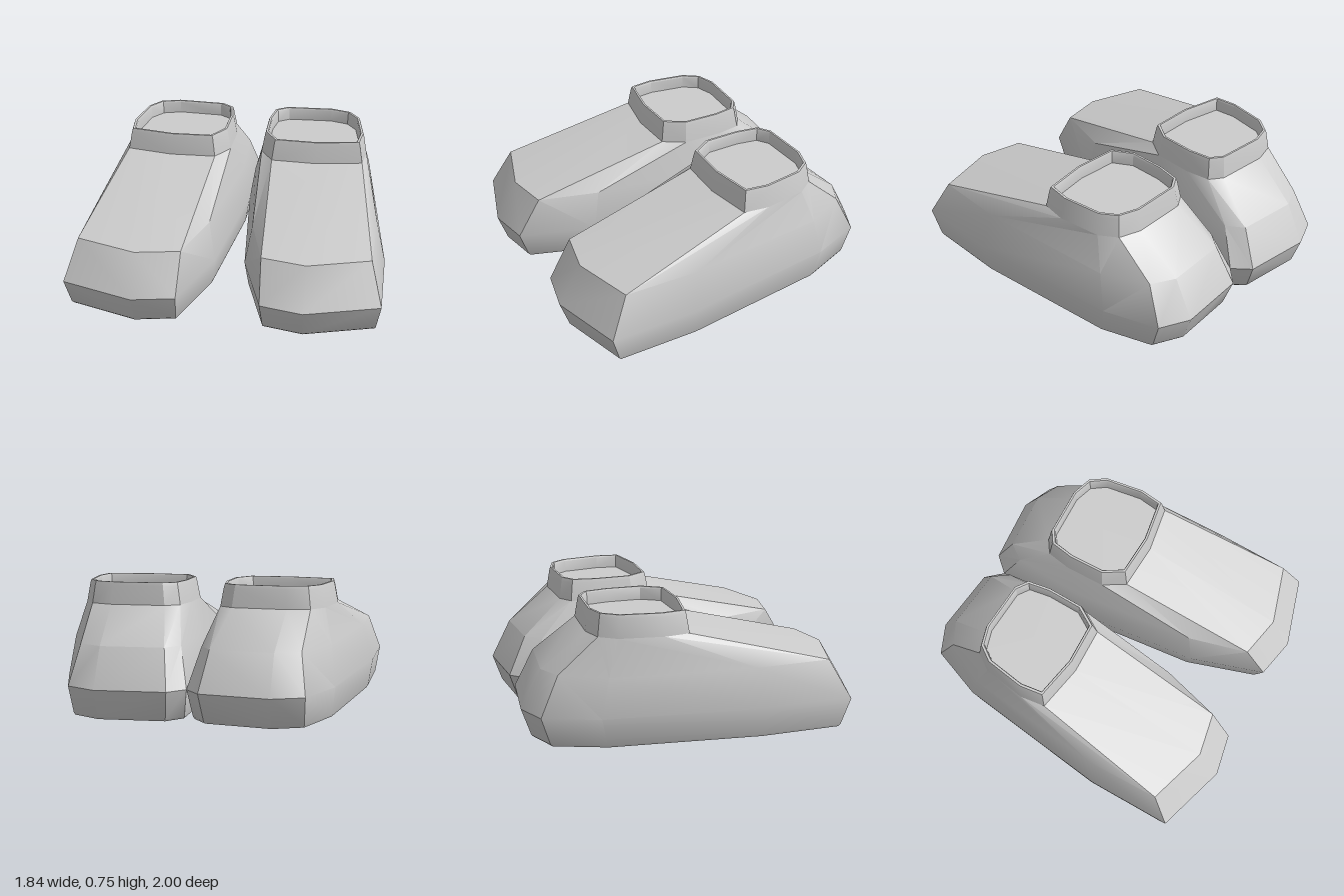
import * as THREE from 'three';
import { toCreasedNormals } from 'three/addons/utils/BufferGeometryUtils.js';

// Outlines of the left shoe as [x, z], from the toe tip round the outer side, heel and inner side.
const WIDEST = [[0.49, 1], [0.92, 0.87], [0.92, 0.35], [0.8, -0.6], [0.68, -0.92], [0.5, -1],
  [0.09, -0.96], [0, -0.86], [0, -0.33], [0.09, 0.5], [0.24, 0.95]];
const SHOULDER = [[0.49, 0.86], [0.85, 0.75], [0.86, 0.3], [0.77, -0.55], [0.64, -0.81], [0.5, -0.88],
  [0.13, -0.85], [0.06, -0.75], [0.04, -0.32], [0.13, 0.45], [0.23, 0.81]];
const ANKLE = [[0.46, -0.02], [0.74, -0.07], [0.76, -0.22], [0.72, -0.48], [0.65, -0.58], [0.52, -0.62],
  [0.2, -0.605], [0.12, -0.55], [0.095, -0.4], [0.1, -0.16], [0.18, -0.03]];

// Places an outline at height y, scaled about a centre.
const ring = (outline, y, s = 1, cx = 0.46, cz = 0) =>
  outline.map(([x, z]) => [cx + (x - cx) * s, y, cz + (z - cz) * s]);
const collarRing = (y, s) => ring(ANKLE, y, s, 0.42, -0.32);

// Joins stacked rings into a skin; side = -1 mirrors it.
function loft(rings, side, capBottom, capTop) {
  const pos = [];
  const tri = (a, b, c) => {
    for (const p of side > 0 ? [a, b, c] : [a, c, b]) pos.push(p[0] * side, p[1], p[2]);
  };
  const n = rings[0].length;
  for (let r = 0; r < rings.length - 1; r++) {
    const a = rings[r], b = rings[r + 1];
    for (let i = 0; i < n; i++) {
      const j = (i + 1) % n;
      tri(a[i], a[j], b[j]);
      tri(a[i], b[j], b[i]);
    }
  }
  const centre = (r) => [0, 1, 2].map((k) => r.reduce((s, p) => s + p[k], 0) / n);
  const first = rings[0], last = rings[rings.length - 1];
  for (let i = 0; i < n; i++) {
    const j = (i + 1) % n;
    if (capBottom) tri(centre(first), first[j], first[i]);
    if (capTop) tri(centre(last), last[i], last[j]);
  }
  const geo = new THREE.BufferGeometry();
  geo.setAttribute('position', new THREE.Float32BufferAttribute(pos, 3));
  return toCreasedNormals(geo, 0.5);
}

export function createModel() {
  const model = new THREE.Group();
  model.name = 'pairOfShoes';
  const material = new THREE.MeshStandardMaterial({ color: 0xcccccc });

  for (const side of [1, -1]) {
    const shoe = new THREE.Group();
    shoe.name = side > 0 ? 'leftShoe' : 'rightShoe';
    const add = (name, geo) => {
      const mesh = new THREE.Mesh(geo, material);
      mesh.name = name;
      shoe.add(mesh);
    };

    // Sole, flared sides, sloping instep and heel
    add('shoeBody', loft([
      ring(WIDEST, 0, 0.93),
      ring(WIDEST, 0.015, 0.945),
      ring(WIDEST, 0.18),
      ring(SHOULDER, 0.41),
      collarRing(0.615, 1),
    ], side, true, false));

    // Ankle collar with a rounded rim and a shallow closed recess
    add('ankleCollar', loft([
      collarRing(0.615, 1),
      collarRing(0.725, 0.94),
      collarRing(0.745, 0.92),
      collarRing(0.745, 0.88),
      collarRing(0.735, 0.865),
      collarRing(0.665, 0.855),
    ], side, false, true));

    model.add(shoe);
  }
  return model;
}
